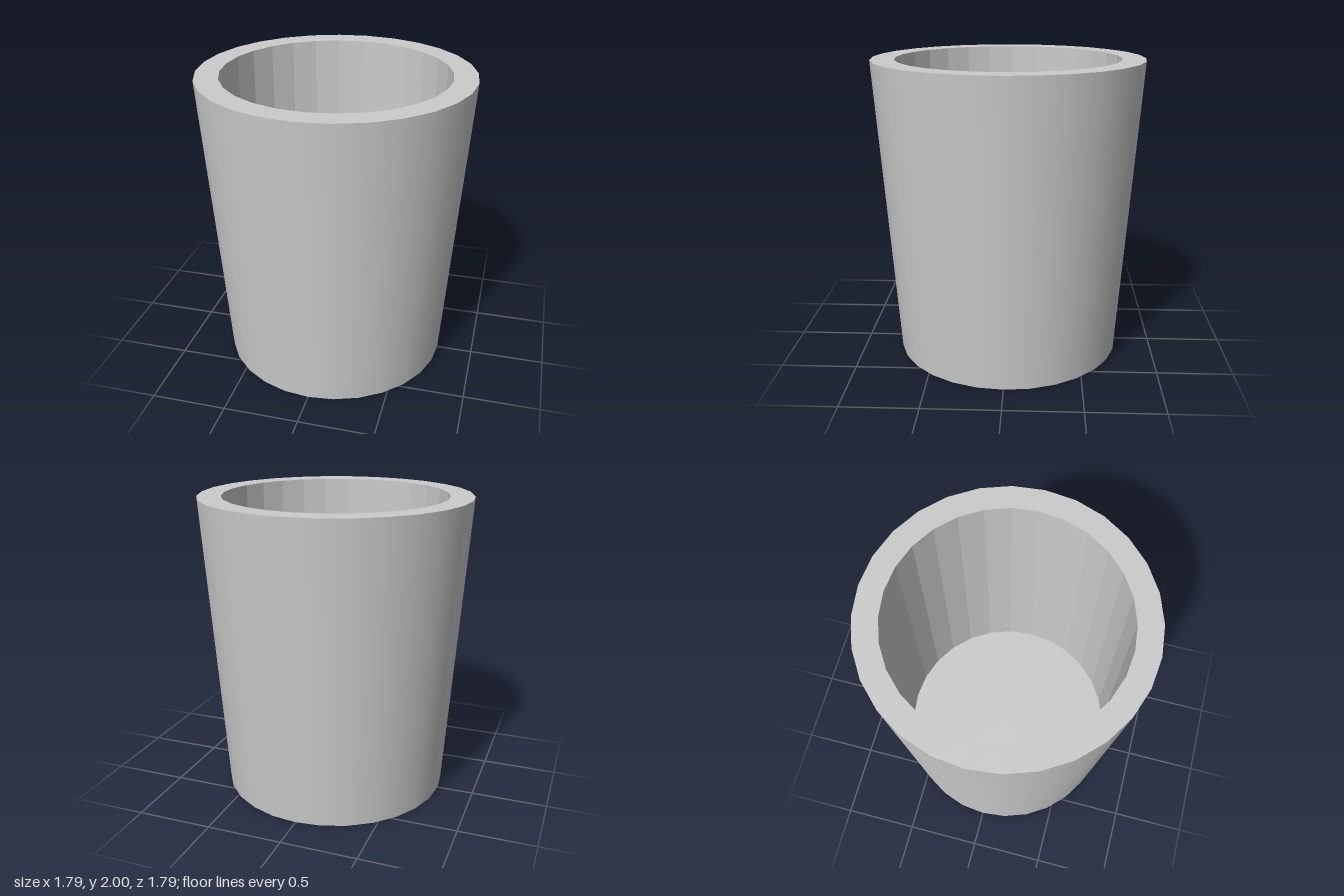
import * as THREE from 'three';

const SIDES = 28;
const HEIGHT = 2;
const TOP_RADIUS = 0.895;
const BASE_RADIUS = 0.757;
const BORE_RADIUS = 0.74;
const FLOOR_Y = 0.15;

export function createModel() {
  const group = new THREE.Group();
  group.name = 'cup';
  const smooth = new THREE.MeshStandardMaterial({ color: 0xcccccc });
  const faceted = new THREE.MeshStandardMaterial({ color: 0xcccccc, flatShading: true });

  const add = (name, geometry, material, y) => {
    const mesh = new THREE.Mesh(geometry, material);
    mesh.name = name;
    mesh.position.y = y;
    group.add(mesh);
  };

  // Tapered outer wall
  add('outerWall',
    new THREE.CylinderGeometry(TOP_RADIUS, BASE_RADIUS, HEIGHT, SIDES, 1, true), smooth, HEIGHT / 2);

  // Straight faceted bore, turned to face inward
  const depth = HEIGHT - FLOOR_Y;
  const bore = new THREE.CylinderGeometry(BORE_RADIUS, BORE_RADIUS, depth, SIDES, 1, true);
  bore.scale(-1, 1, 1);
  bore.setIndex(Array.from(bore.index.array));
  const index = bore.index;
  for (let i = 0; i < index.count; i += 3) {
    // Mirroring already reverses the winding; only the normals need turning
    const normal = bore.attributes.normal;
    if (i === 0) for (let n = 0; n < normal.count; n++) {
      normal.setXYZ(n, -normal.getX(n), -normal.getY(n), -normal.getZ(n));
    }
  }
  add('innerWall', bore, faceted, FLOOR_Y + depth / 2);

  // Flat rim, inner floor and underside
  const rim = new THREE.RingGeometry(BORE_RADIUS, TOP_RADIUS, SIDES).rotateX(-Math.PI / 2);
  add('rim', rim, smooth, HEIGHT);
  const floor = new THREE.CircleGeometry(BORE_RADIUS, SIDES).rotateX(-Math.PI / 2);
  add('innerFloor', floor, smooth, FLOOR_Y);
  const base = new THREE.CircleGeometry(BASE_RADIUS, SIDES).rotateX(Math.PI / 2);
  add('base', base, smooth, 0);

  return group;
}
